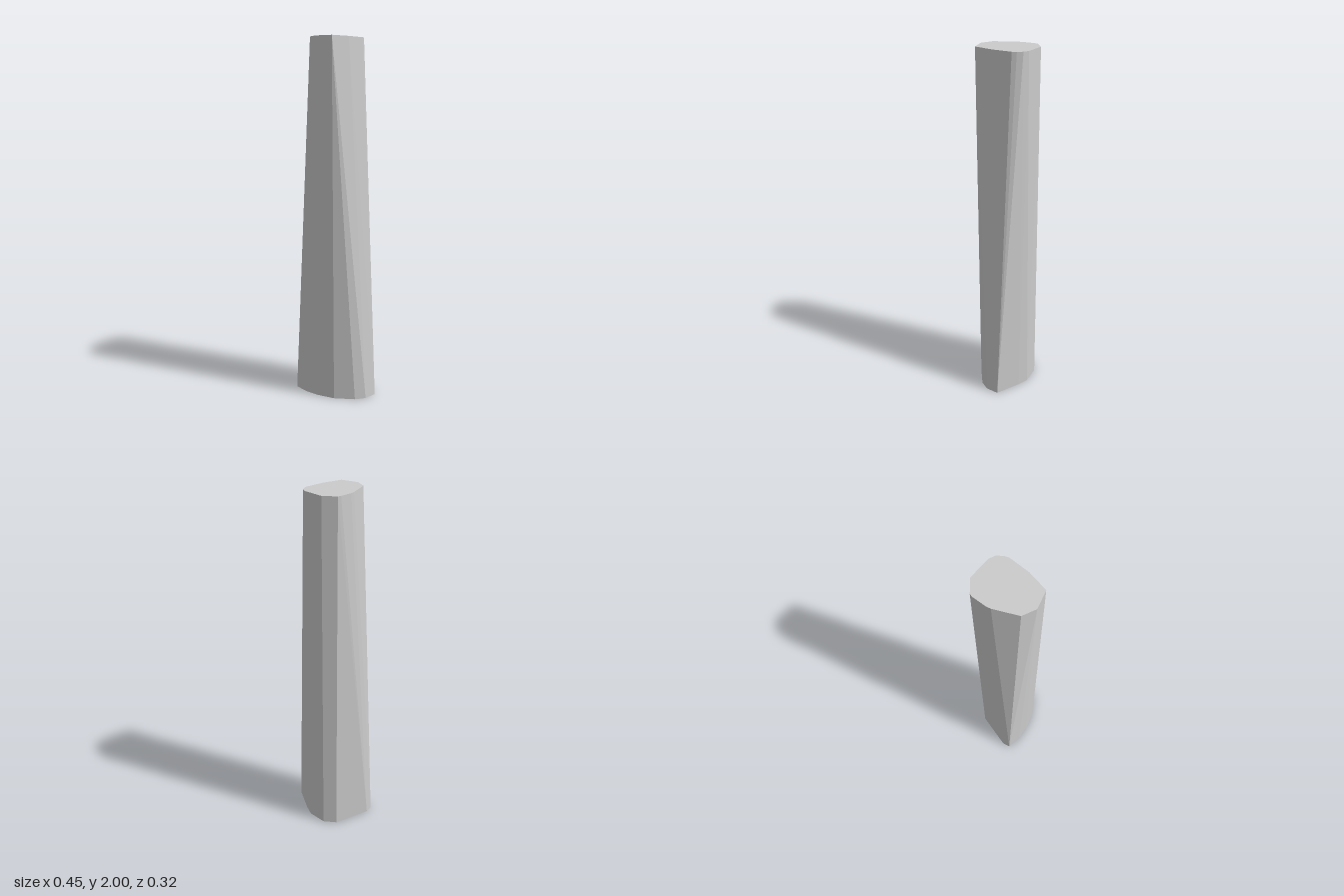
import * as THREE from 'three';
import { ConvexGeometry } from 'three/addons/geometries/ConvexGeometry.js';

// Outlines as [x, z] corners
const topOutline = [
  [-0.057, -0.163], [0.06, -0.135], [0.087, -0.115], [0.101, -0.085], [0.106, -0.06],
  [0.083, 0.05], [0.04, 0.155], [-0.057, 0.161], [-0.118, 0.115], [-0.13, 0.06],
  [-0.147, -0.015], [-0.147, -0.04], [-0.135, -0.11], [-0.128, -0.127],
];
const baseOutline = [
  [-0.057, -0.162], [0.05, -0.147], [0.105, -0.11], [0.223, -0.013], [0.202, 0.06],
  [0.157, 0.105], [0.047, 0.151], [-0.057, 0.157], [-0.14, 0.145],
  [-0.225, 0.113], [-0.225, 0.068], [-0.127, -0.126],
];

const atHeight = (outline, y) => outline.map(([x, z]) => new THREE.Vector3(x, y, z));

export function createModel() {
  const group = new THREE.Group();
  group.name = 'taperedPillar';

  // Faceted shaft: a convex skin between the base and the narrower top
  const shaft = new THREE.Mesh(
    new ConvexGeometry([...atHeight(baseOutline, 0), ...atHeight(topOutline, 2)]),
    new THREE.MeshStandardMaterial({ color: 0xcccccc, flatShading: true }),
  );
  shaft.name = 'shaft';
  group.add(shaft);
  return group;
}
